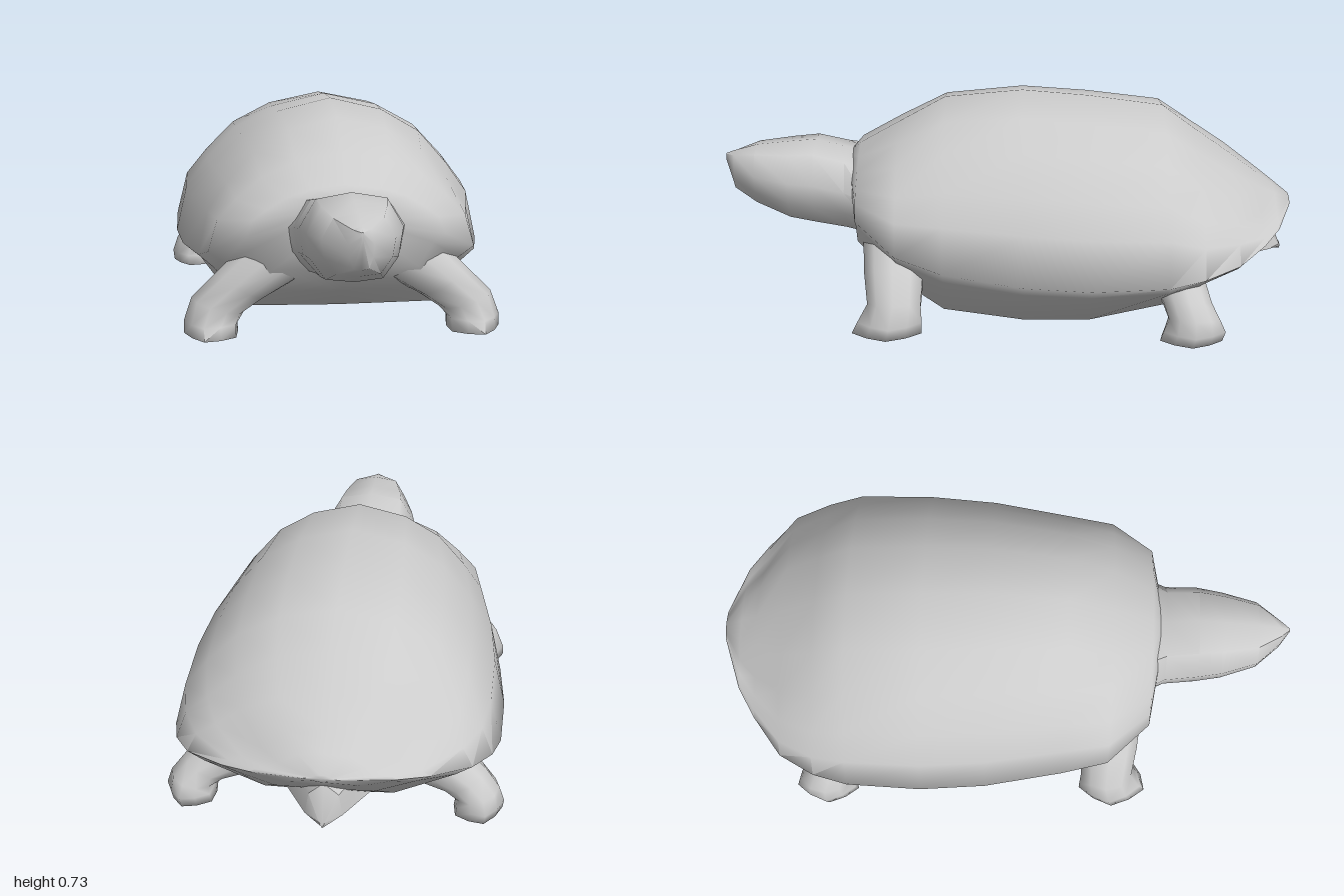
import * as THREE from 'three';
import { toCreasedNormals } from 'three/addons/utils/BufferGeometryUtils.js';

const material = new THREE.MeshStandardMaterial({ color: 0xcccccc, side: THREE.DoubleSide });

// Closed skin over a row of rings (arrays of [x, y, z]) with fan caps at both ends.
function loft(name, rings, crease) {
  const n = rings[0].length;
  const points = rings.flat();
  const index = [];
  for (let i = 0; i < rings.length - 1; i++) {
    for (let j = 0; j < n; j++) {
      const a = i * n + j, b = i * n + (j + 1) % n;
      index.push(a, b, a + n, b, b + n, a + n);
    }
  }
  [0, rings.length - 1].forEach((r, end) => {
    const mid = [0, 1, 2].map(k => rings[r].reduce((s, p) => s + p[k], 0) / n);
    const c = points.push(mid) - 1;
    for (let j = 0; j < n; j++) {
      const a = r * n + j, b = r * n + (j + 1) % n;
      index.push(c, ...(end ? [a, b] : [b, a]));
    }
  });
  // Turn every face outward, whichever way the rings run.
  let volume = 0;
  const v = points.map(p => new THREE.Vector3(...p));
  for (let i = 0; i < index.length; i += 3) {
    volume += v[index[i]].dot(v[index[i + 1]].clone().cross(v[index[i + 2]]));
  }
  if (volume < 0) index.reverse();
  const geometry = new THREE.BufferGeometry();
  geometry.setAttribute('position', new THREE.Float32BufferAttribute(points.flat(), 3));
  geometry.setIndex(index);
  const mesh = new THREE.Mesh(toCreasedNormals(geometry, crease), material);
  mesh.name = name;
  return mesh;
}

// Ring from a half profile running from the top centre to the bottom centre.
function mirrorRing(half, z) {
  const inner = half.slice(1, -1).reverse();
  return [...half.map(([x, y]) => [x, y, z]), ...inner.map(([x, y]) => [-x, y, z])];
}

// Domed shell, folded in at the rim and running into the flat belly.
function shell() {
  // z, half width, rim height, ridge height, belly half width, belly height
  const sections = [
    [0.55, 0.12, 0.42, 0.505, 0.10, 0.36],
    [0.52, 0.33, 0.36, 0.53, 0.24, 0.25],
    [0.38, 0.45, 0.28, 0.61, 0.31, 0.14],
    [0.22, 0.48, 0.23, 0.70, 0.35, 0.045],
    [-0.05, 0.53, 0.205, 0.725, 0.37, 0.015],
    [-0.28, 0.55, 0.20, 0.705, 0.37, 0.015],
    [-0.54, 0.545, 0.21, 0.67, 0.31, 0.045],
    [-0.66, 0.52, 0.23, 0.58, 0.26, 0.09],
    [-0.78, 0.46, 0.255, 0.495, 0.21, 0.14],
    [-0.88, 0.33, 0.275, 0.42, 0.16, 0.21],
    [-0.94, 0.23, 0.295, 0.375, 0.12, 0.265],
    [-1.0, 0.05, 0.32, 0.335, 0.03, 0.315],
  ];
  return loft('shell', sections.map(([z, w, rim, top, bw, b]) => {
    const h = top - rim;
    // The rim flares towards the back, with dents beside the tail lobe.
    const flare = z < -0.8 ? 0.4 : z < -0.6 ? 0.85 : 1;
    return mirrorRing([
      [0, top],
      [0.345 * w, rim + 0.915 * h],
      [0.6 * w, rim + 0.76 * h * Math.sqrt(flare)],
      [0.79 * w, rim + 0.535 * h * flare],
      [0.93 * w, rim + 0.33 * h * flare],
      [w, rim],
      [0.88 * w, rim - 0.28 * (rim - b)],
      [bw, b],
      [0, b - 0.005],
    ], z);
  }), 1.3);
}

// Blunt head tapering to a vertical beak edge, on a neck that widens into the shell.
function head() {
  // z, half width, top, bottom
  const sections = [
    [0.34, 0.29, 0.46, 0.16],
    [0.48, 0.22, 0.49, 0.225],
    [0.57, 0.175, 0.513, 0.237],
    [0.68, 0.168, 0.54, 0.255],
    [0.77, 0.152, 0.533, 0.27],
    [0.89, 0.115, 0.52, 0.32],
    [0.97, 0.04, 0.498, 0.36],
    [1.0, 0.004, 0.487, 0.46],
  ];
  return loft('head', sections.map(([z, w, top, bottom]) => {
    const h = top - bottom;
    return mirrorRing([
      [0, top], [0.68 * w, top - 0.07 * h], [w, bottom + 0.6 * h],
      [0.92 * w, bottom + 0.3 * h], [0.6 * w, bottom + 0.04 * h], [0, bottom],
    ], z);
  }), 0.9);
}

// Deep wedge of a tail under the back of the shell.
function tail() {
  const sections = [
    [-0.6, 0.20, 0.28, 0.08], [-0.76, 0.15, 0.28, 0.125],
    [-0.93, 0.06, 0.26, 0.125], [-0.98, 0.008, 0.14, 0.125],
  ];
  return loft('tail', sections.map(([z, w, top, bottom]) => mirrorRing([
    [0, top], [0.8 * w, top - 0.3 * (top - bottom)], [w, bottom + 0.02], [0, bottom],
  ], z)), 0.7);
}

// Sprawling leg of rings tilted across its line, ending in a rounded, lobed foot.
function leg(name, side, sections) {
  return loft(name, sections.map(([x, y, z, rx, rz, tilt], i) => {
    const ring = [];
    for (let j = 0; j < 10; j++) {
      const a = j / 10 * Math.PI * 2;
      const lobe = i >= sections.length - 2 && j % 2 ? 0.9 : 1;
      const dx = Math.cos(a) * rx * lobe;
      ring.push([side * (x + dx), y + dx * tilt, z + Math.sin(a) * rz * lobe]);
    }
    return ring;
  }), 2);
}

export function createModel() {
  const model = new THREE.Group();
  model.name = 'tortoise';
  model.add(shell(), head(), tail());

  // x, y, z of each ring centre, its radii along x and z, and its tilt
  const front = [
    [0.14, 0.32, 0.39, 0.08, 0.10, 0.9], [0.22, 0.265, 0.395, 0.08, 0.11, 0.9],
    [0.34, 0.17, 0.39, 0.078, 0.105, 0.6], [0.42, 0.10, 0.385, 0.088, 0.095, 0.3],
    [0.44, 0.05, 0.40, 0.095, 0.115, 0], [0.44, 0.01, 0.41, 0.095, 0.125, 0],
  ];
  const rear = [
    [0.26, 0.18, -0.58, 0.08, 0.09, 0.9], [0.36, 0.14, -0.59, 0.075, 0.09, 0.8],
    [0.43, 0.105, -0.61, 0.072, 0.085, 0.5], [0.475, 0.07, -0.63, 0.072, 0.09, 0.25],
    [0.48, 0.035, -0.63, 0.085, 0.11, 0], [0.475, 0.0, -0.62, 0.085, 0.11, 0],
  ];
  for (const [word, side] of [['Left', 1], ['Right', -1]]) {
    model.add(leg('front' + word + 'Leg', side, front), leg('rear' + word + 'Leg', side, rear));
  }
  return model;
}
